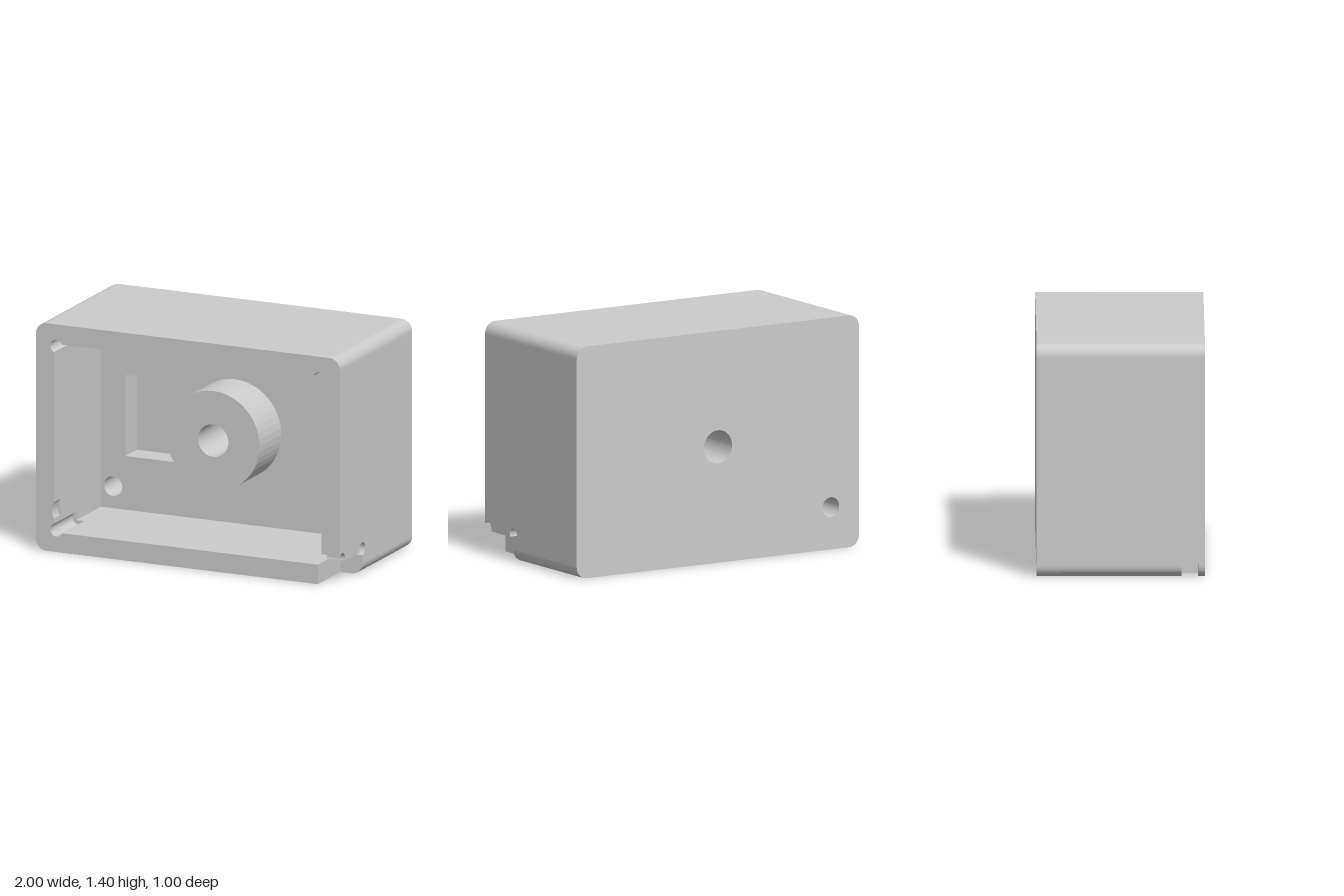
import * as THREE from 'three';

const material = new THREE.MeshStandardMaterial({ color: 0xcccccc });
const rad = THREE.MathUtils.degToRad;

// Points along an arc, angles in degrees
function arc(cx, cy, r, a0, a1, n = 8) {
  return Array.from({ length: n + 1 }, (_, i) => {
    const a = rad(a0 + (a1 - a0) * i / n);
    return new THREE.Vector2(cx + r * Math.cos(a), cy + r * Math.sin(a));
  });
}
const p = (x, y) => new THREE.Vector2(x, y);
const circle = (cx, cy, r, n = 40) => arc(cx, cy, r, 0, 360, n).slice(0, n);

// Extrude a contour with holes between two depths
function slab(name, contour, holes, z0, z1) {
  const shape = new THREE.Shape(contour);
  shape.holes = holes.map(h => new THREE.Path(h));
  const geo = new THREE.ExtrudeGeometry(shape, { depth: z1 - z0, bevelEnabled: false });
  geo.translate(0, 0, z0);
  const mesh = new THREE.Mesh(geo, material);
  mesh.name = name;
  return mesh;
}

const R = 0.07;          // outer corner radius
const GAP = 0.21;        // top of the separately built right wall strip

// Outer outline from the right wall, over the top, to the bottom
function outer(startY, leftNotch) {
  return [
    p(1, startY),
    ...arc(1 - R, 1.4 - R, R, 0, 90),
    ...arc(-1 + R, 1.4 - R, R, 90, 180),
    ...(leftNotch ? [p(-1, 0.085), p(-0.83, 0.085), p(-0.83, 0)] : arc(-1 + R, R, R, 180, 270)),
  ];
}
const bottomRight = () => arc(1 - R, R, R, 270, 360);

// Cavity outline, clockwise from the bottom right
function inner(startX, endY, relief, screwClearance) {
  return [
    p(startX, 0.12),
    ...(relief ? arc(-0.865, 0.135, 0.04, 338, 112, 16) : [p(-0.88, 0.12)]),
    ...(screwClearance ? arc(-0.8, 0.255, 0.095, 212.6, 147.4) : []),
    ...(relief ? arc(-0.865, 1.265, 0.04, 248, 22, 16) : [p(-0.88, 1.28)]),
    ...(relief ? arc(0.865, 1.265, 0.04, 158, -68, 16) : [p(0.88, 1.28)]),
    p(0.88, endY),
  ];
}

// Extrude a (z, y) profile through the right wall
function rightWallPiece(name, contour) {
  const mesh = slab(name, contour, [], 0, 0.12);
  mesh.geometry.rotateY(-Math.PI / 2).translate(1, 0, 0);
  return mesh;
}

export function createModel() {
  const model = new THREE.Group();
  model.name = 'enclosure';

  // Thick back wall with through holes and a blind rectangular pocket
  const full = [...outer(R, false), ...bottomRight().slice(0, -1)];
  const shaft = circle(0, 0.7, 0.1), screw = circle(-0.8, 0.255, 0.06, 32);
  const pocket = [p(-0.72, 0.45), p(-0.28, 0.45), p(-0.28, 0.95), p(-0.72, 0.95)];
  model.add(slab('backPlate', full, [shaft, screw], -0.5, -0.31));
  model.add(slab('pocketPlate', full, [shaft, screw, pocket], -0.31, -0.15));

  // Central boss
  model.add(slab('boss', circle(0, 0.7, 0.305, 48), [shaft], -0.31, 0.15));

  // Side walls
  model.add(slab('walls', full, [inner(0.88, 0.12, false, false)], -0.15, 0.15));
  model.add(slab('wallsBehindNotch',
    [...outer(GAP, false), ...bottomRight(), p(1, 0.12), ...inner(0.88, GAP, false, false)],
    [], 0.15, 0.19));

  // Front rim: open lower right corner, corner reliefs, small left notch
  const rim = [
    [0.19, 0.36, false, false],
    [0.36, 0.42, true, false],
    [0.42, 0.46, true, true],
    [0.46, 0.5, false, true],
  ];
  for (const [z0, z1, leftNotch, clearance] of rim) {
    model.add(slab('frontRim',
      [...outer(GAP, leftNotch), p(0.855, 0), ...inner(0.855, GAP, true, clearance)],
      [], z0, z1));
  }

  // Right wall above the notch, with round reliefs at both ends
  model.add(rightWallPiece('notchTop', [
    p(0.15, GAP),
    ...arc(0.19, 0.16, 0.04, 180, -22, 20),
    ...arc(0.47, 0.16, 0.04, 202, 41.4, 16),
    p(0.5, GAP),
  ]));
  model.add(rightWallPiece('notchCorner', [p(0.15, 0.12), ...arc(0.19, 0.16, 0.04, 180, 270)]));

  return model;
}
